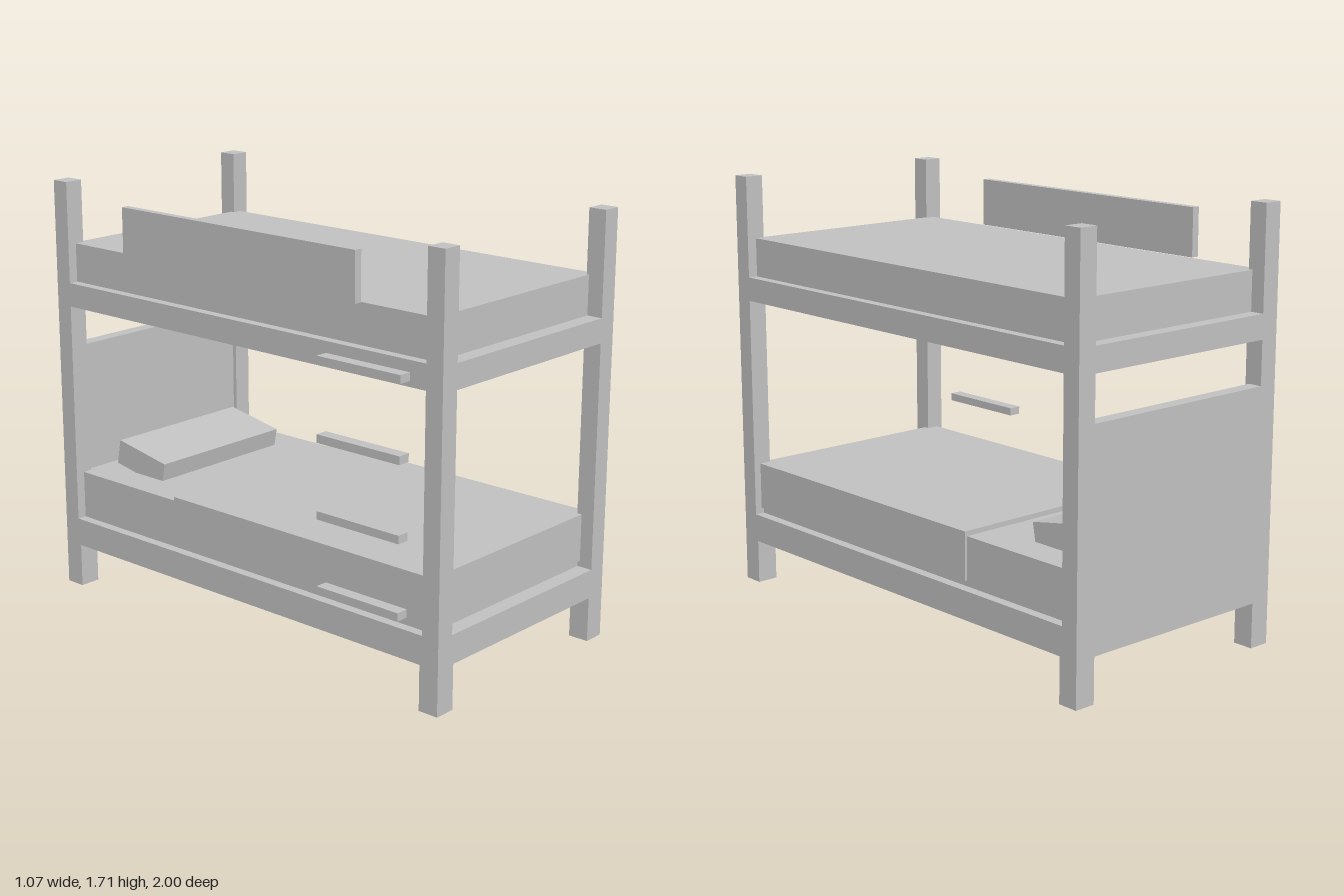
import * as THREE from 'three';

export function createModel() {
  const model = new THREE.Group();
  model.name = 'bunkBed';
  const grey = new THREE.MeshStandardMaterial({ color: 0xc0c0c0 });
  grey.name = 'light grey';

  // Box given by its extents along each axis
  function box(name, [x0, x1], [y0, y1], [z0, z1]) {
    const mesh = new THREE.Mesh(new THREE.BoxGeometry(x1 - x0, y1 - y0, z1 - z0), grey);
    mesh.position.set((x0 + x1) / 2, (y0 + y1) / 2, (z0 + z1) / 2);
    mesh.name = name;
    model.add(mesh);
    return mesh;
  }

  const X0 = -0.487, X1 = 0.535;

  // Corner posts on slightly thicker feet
  for (const right of [true, false]) {
    for (const front of [true, false]) {
      const spanX = (w) => (right ? [X0, X0 + w] : [X1 - w, X1]);
      const spanZ = (d) => (front ? [1 - d, 1] : [-1, -1 + d]);
      box('foot', spanX(0.088), [0, 0.18], spanZ(0.085));
      box('post', spanX(0.078), [0.18, 1.71], spanZ(0.075));
    }
  }

  // Bed frames
  box('lowerFrame', [X0, X1], [0.18, 0.295], [-1, 1]);
  box('upperFrame', [X0, X1], [1.203, 1.3], [-1, 1]);

  // Solid panel at the head end
  box('headboard', [X0, X1], [0.295, 1.027], [-1, -0.942]);

  // Mattresses, blanket and tilted pillow
  box('lowerMattress', [-0.448, 0.495], [0.295, 0.49], [-0.942, 0.935]);
  box('upperMattress', [-0.448, 0.495], [1.3, 1.457], [-0.942, 0.935]);
  box('blanket', [-0.458, 0.505], [0.318, 0.51], [-0.375, 0.945]);
  const pillow = box('pillow', [-0.31, 0.356], [0.485, 0.589], [-0.86, -0.59]);
  pillow.rotation.x = 0.18;

  // Guard rail above the ladder side
  box('guardRail', [X0, -0.455], [1.457, 1.65], [-0.6, 0.6]);

  // Ladder steps
  for (let i = 0; i < 4; i++) {
    const y = 0.345 + i * 0.293;
    box('ladderStep', [-0.538, X0], [y, y + 0.032], [0.463, 0.853]);
  }

  return model;
}
